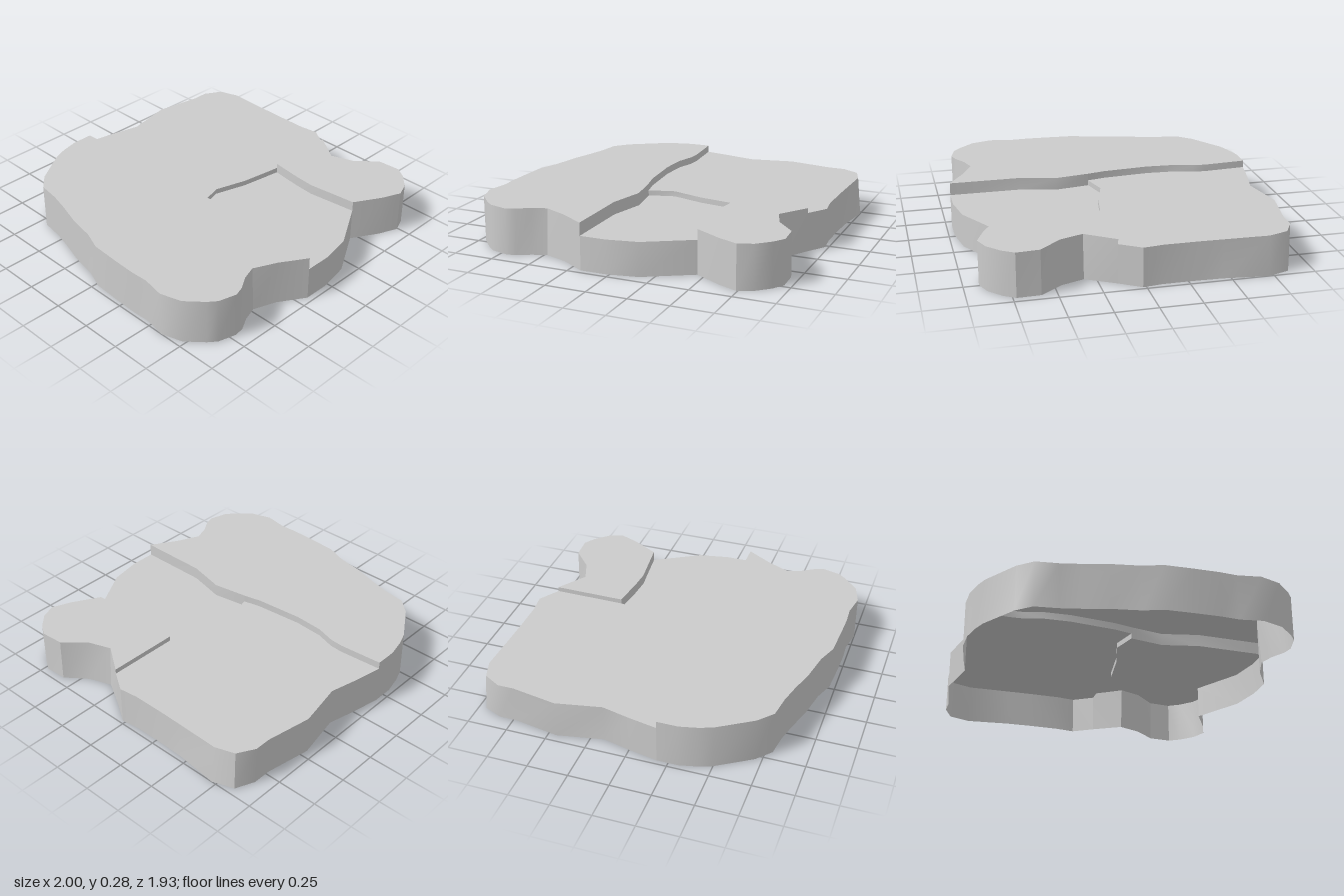
import * as THREE from 'three';
import { mergeVertices, toCreasedNormals } from 'three/addons/utils/BufferGeometryUtils.js';

// Heights of the four plates
const H = { left: 0.285, back: 0.24, middle: 0.207, corner: 0.27 };

// Outer edges seen from above, anticlockwise: [x, z] or [x, z, baseX, baseZ] where the wall leans
const leftEdge = [[-0.18, -0.97], [-0.31, -0.97], [-0.42, -0.945], [-0.5, -0.915], [-0.71, -0.78],
  [-0.79, -0.69], [-0.81, -0.55], [-0.84, -0.43], [-0.885, -0.28], [-0.92, -0.1], [-0.965, 0.02],
  [-0.975, 0.2], [-0.98, 0.35], [-0.975, 0.46], [-1, 0.6], [-0.96, 0.73], [-0.87, 0.83], [-0.82, 0.87],
  [-0.71, 0.9], [-0.65, 0.88, -0.65, 0.89], [-0.57, 0.83, -0.57, 0.845], [-0.48, 0.8, -0.48, 0.815],
  [-0.34, 0.865], [-0.18, 0.965]];
const middleEdge = [[-0.18, 0.965], [-0.02, 0.965], [0.17, 0.93], [0.455, 0.765]];
const cornerEdge = [[0.455, 0.765], [0.62, 0.86], [0.74, 0.91], [0.83, 0.875], [0.91, 0.8], [0.955, 0.73],
  [0.945, 0.59, 0.95, 0.59], [0.83, 0.46, 0.85, 0.46], [0.78, 0.32, 0.8, 0.32], [0.9, 0.145]];
const backEdge = [[0.9, 0.145], [0.98, 0.02], [0.965, -0.1], [0.965, -0.3], [0.968, -0.45, 0.97, -0.45],
  [0.975, -0.72, 1, -0.72], [0.935, -0.84, 0.955, -0.85], [0.83, -0.9, 0.84, -0.9], [0.73, -0.9],
  [0.45, -0.95], [0.17, -0.895], [0, -0.935], [-0.18, -0.97]];

// Seams between plates
const leftSeamFront = [[-0.18, 0.965], [-0.18, 0.53], [-0.125, 0.3], [-0.16, 0.085]];
const leftSeamBack = [[-0.16, 0.085], [-0.185, -0.03], [-0.21, -0.32], [-0.2, -0.5], [-0.165, -0.62],
  [-0.16, -0.7], [-0.18, -0.97]];
const middleSeam = [[-0.16, 0.085], [0, 0.04], [0.2, 0.1], [0.455, 0.14]];
const cornerSeamSide = [[0.455, 0.14], [0.43, 0.33], [0.42, 0.46], [0.44, 0.63], [0.455, 0.765]];
const cornerSeamBack = [[0.9, 0.145], [0.455, 0.14]];

const flip = (line) => [...line].reverse();

export function createModel() {
  const model = new THREE.Group();
  const material = new THREE.MeshStandardMaterial({ color: 0xcccccc, side: THREE.DoubleSide });

  const add = (parent, name, geometry) => {
    const mesh = new THREE.Mesh(geometry, material);
    mesh.name = name;
    parent.add(mesh);
  };

  // Flat sheet enclosed by a chain of edges
  const sheet = (edges, height) => {
    const points = edges.flatMap((e) => e.slice(0, -1)).map(([x, z]) => new THREE.Vector2(x, -z));
    return new THREE.ShapeGeometry(new THREE.Shape(points)).rotateX(-Math.PI / 2).translate(0, height, 0);
  };

  // Upright strip along an edge
  const wall = (edge, low, high) => {
    const position = [], index = [];
    edge.forEach(([x, z, baseX = x, baseZ = z], i) => {
      position.push(baseX, low, baseZ, x, high, z);
      const a = 2 * i;
      if (i < edge.length - 1) index.push(a, a + 2, a + 3, a, a + 3, a + 1);
    });
    const geometry = new THREE.BufferGeometry();
    geometry.setAttribute('position', new THREE.Float32BufferAttribute(position, 3));
    geometry.setIndex(index);
    return toCreasedNormals(mergeVertices(geometry), 0.6);
  };

  // Each plate: closed outline, outer wall down to the ground, steps down to lower neighbours
  const plates = [
    { name: 'leftPlate', height: H.left, outer: leftEdge,
      outline: [leftEdge, leftSeamFront, leftSeamBack],
      steps: [[leftSeamFront, H.middle], [leftSeamBack, H.back]] },
    { name: 'backPlate', height: H.back, outer: backEdge,
      outline: [backEdge, flip(leftSeamBack), middleSeam, flip(cornerSeamBack)],
      steps: [[middleSeam, H.middle]] },
    { name: 'middlePlate', height: H.middle, outer: middleEdge,
      outline: [middleEdge, flip(cornerSeamSide), flip(middleSeam), flip(leftSeamFront)],
      steps: [] },
    { name: 'cornerPlate', height: H.corner, outer: cornerEdge,
      outline: [cornerEdge, cornerSeamBack, cornerSeamSide],
      steps: [[cornerSeamSide, H.middle], [cornerSeamBack, H.back]] },
  ];

  for (const { name, height, outer, outline, steps } of plates) {
    const plate = new THREE.Group();
    plate.name = name;
    add(plate, 'top', sheet(outline, height));
    add(plate, 'outerWall', wall(outer, 0, height));
    steps.forEach(([seam, low]) => add(plate, 'step', wall(seam, low, height)));
    model.add(plate);
  }
  model.name = 'crackedStoneSlab';
  return model;
}
